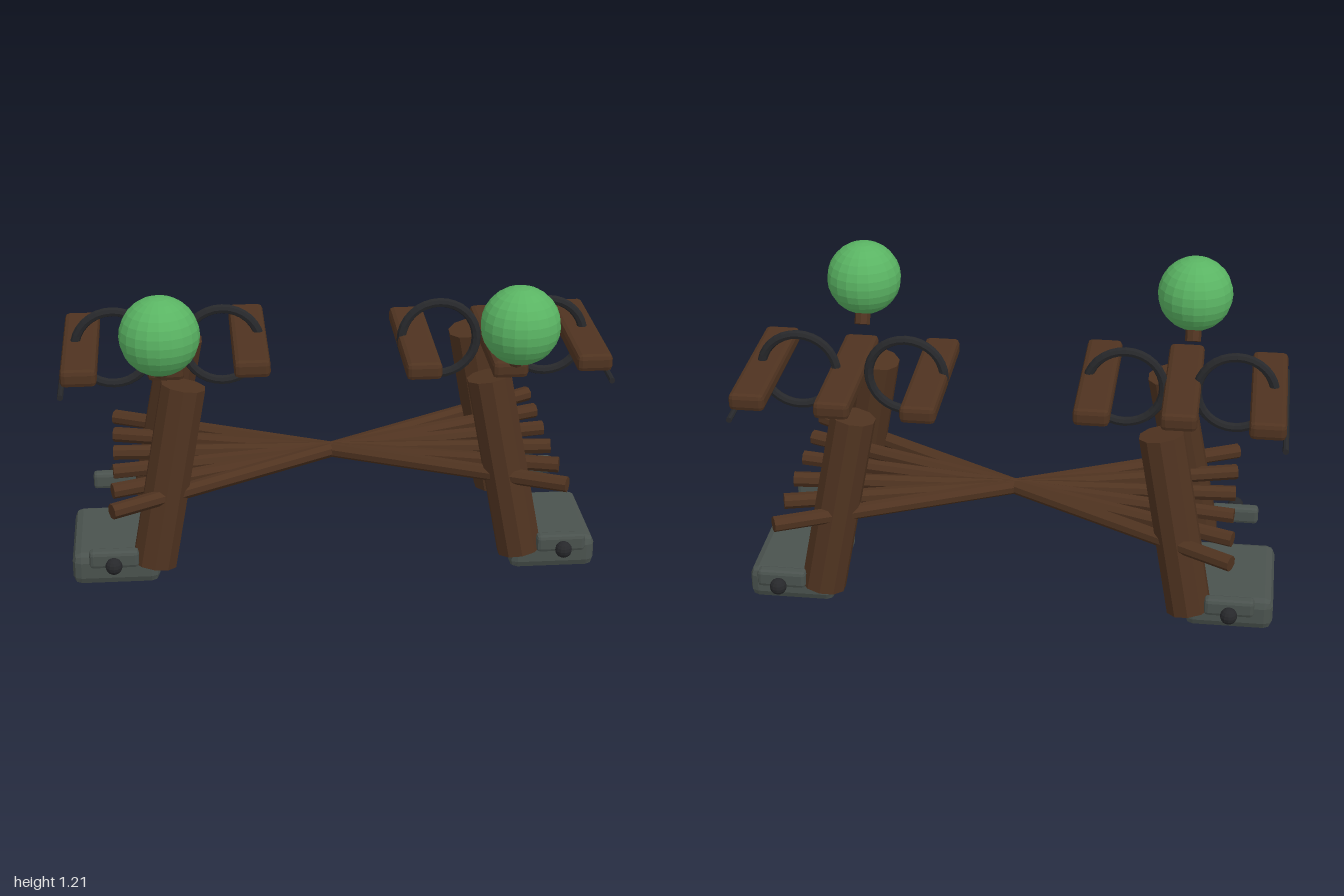
import * as THREE from 'three';
import { RoundedBoxGeometry } from 'three/addons/geometries/RoundedBoxGeometry.js';

const material = (name, color) => {
  const m = new THREE.MeshStandardMaterial({ color, flatShading: true });
  m.name = name;
  return m;
};

export function createModel() {
  const wood = material('dark wood', 0x4f3320);
  const stone = material('grey stone', 0x4a524e);
  const iron = material('black iron', 0x27282b);
  const leaf = material('leaf green', 0x5ab463);

  const model = new THREE.Group();
  model.name = 'frame';
  const ZC = -0.05; // middle plane of the frame

  const add = (name, geometry, mat, x, y, z) => {
    const mesh = new THREE.Mesh(geometry, mat);
    mesh.name = name;
    mesh.position.set(x, y, z);
    model.add(mesh);
    return mesh;
  };

  // straight round bar between two points
  const rod = (name, a, b, radius, sides, mat) => {
    const from = new THREE.Vector3(...a);
    const to = new THREE.Vector3(...b);
    const axis = to.clone().sub(from);
    const mid = from.add(to).multiplyScalar(0.5);
    const mesh = add(name, new THREE.CylinderGeometry(radius, radius, axis.length(), sides), mat, mid.x, mid.y, mid.z);
    mesh.quaternion.setFromUnitVectors(new THREE.Vector3(0, 1, 0), axis.normalize());
  };

  // fan of cross bars meeting in the middle
  for (let i = 0; i < 6; i++) {
    const dz = (i - 2.5) * 0.172;
    rod('crossBar', [-0.82, 0.41, ZC - dz], [0.82, 0.454, ZC + dz], 0.029, 8, wood);
  }

  // planks as [x, y]
  const plank = new RoundedBoxGeometry(0.13, 0.065, 0.615, 1, 0.018);
  const planks = [
    [-0.922, 0.869], [-0.612, 0.884], [-0.305, 0.885],
    [0.311, 0.856], [0.622, 0.854], [0.928, 0.869],
  ];
  for (const [x, y] of planks) add('plank', plank, wood, x, y, ZC);

  // upright rings between the planks
  const ring = new THREE.TorusGeometry(0.14, 0.0175, 8, 32);
  for (const x of [-0.803, -0.403, 0.4, 0.8]) add('ring', ring, iron, x, 0.869, ZC);

  const foot = new RoundedBoxGeometry(0.324, 0.125, 0.44, 1, 0.032);
  const clamp = new RoundedBoxGeometry(0.18, 0.066, 0.051, 1, 0.014);
  const knob = new THREE.SphereGeometry(0.031, 12, 8);
  const ball = new THREE.SphereGeometry(0.141, 20, 14);

  for (const s of [-1, 1]) {
    add('foot', foot, stone, s * 0.82, 0.0665, ZC);

    // thin rail along the outer edge
    rod('edgeRail', [s * 0.987, 0.811, ZC - 0.327], [s * 0.987, 0.811, ZC + 0.327], 0.011, 8, iron);

    // stem and green ball
    rod('stem', [s * 0.63, 0.905, 0.296], [s * 0.63, 1.0, 0.345], 0.03, 8, wood);
    add('greenBall', ball, leaf, s * 0.63, 1.07, 0.367);

    for (const f of [-1, 1]) {
      // leaning post
      rod('post', [s * 0.676, 0.137, ZC + f * 0.3], [s * 0.552, 0.812, ZC + f * 0.245], 0.083, 10, wood);
      // clamp with its knob
      add('clamp', clamp, stone, s * 0.822, 0.181, ZC + f * 0.343);
      add('knob', knob, iron, s * 0.822, 0.181, ZC + f * 0.41);
    }
  }
  return model;
}
